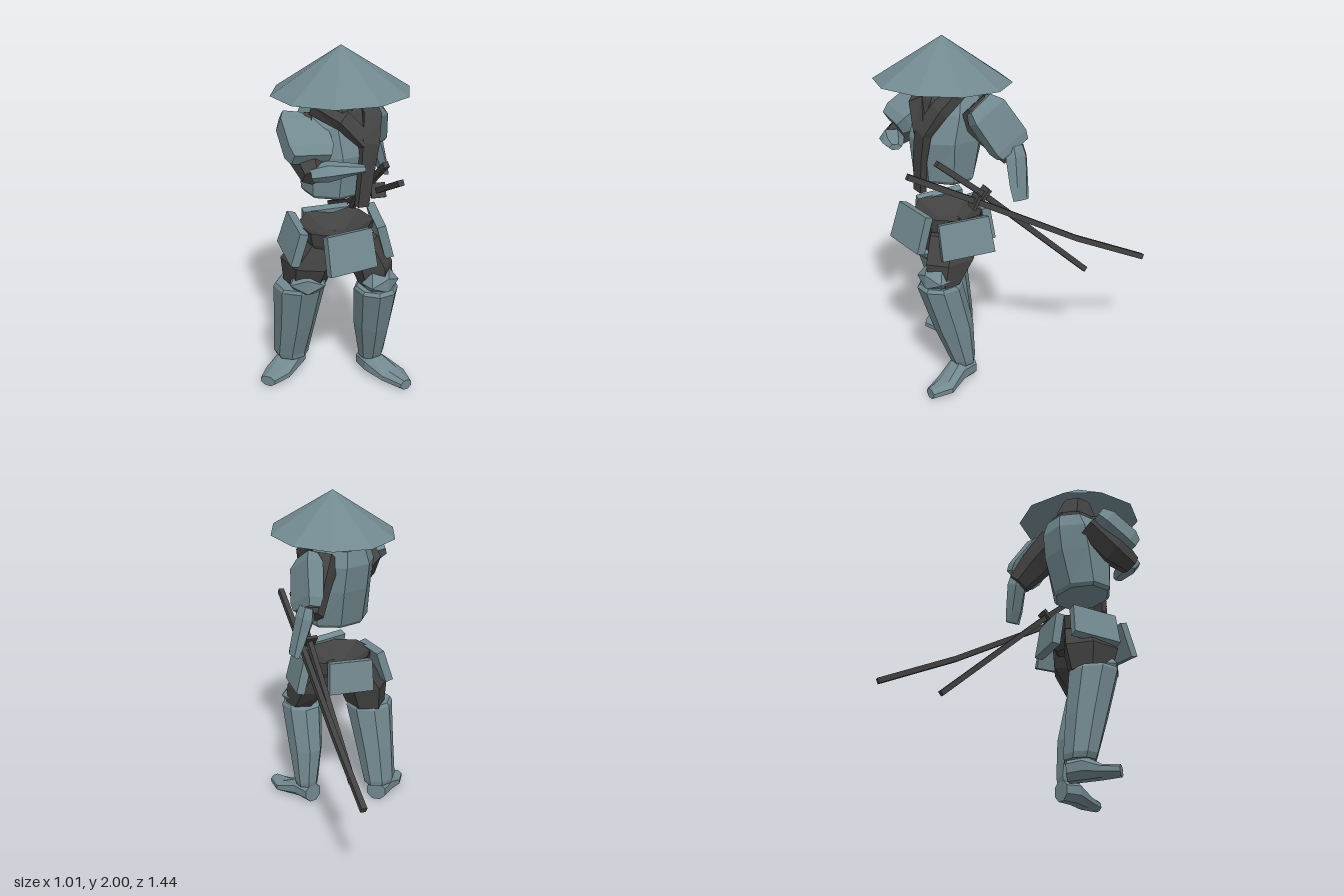
import * as THREE from 'three';

const V = (x, y, z) => new THREE.Vector3(x, y, z);
const X = V(1, 0, 0), Y = V(0, 1, 0), Z = V(0, 0, 1);

// Closed faceted loft. Each section is [x, y, z, halfAlongRef, halfAcross];
// sections face along the path, or along "axis" when it is given.
function loft(sections, sides, ref, axis) {
  const pts = sections.map(s => V(s[0], s[1], s[2]));
  const k = 1 / Math.cos(Math.PI / sides);
  const rings = sections.map((s, i) => {
    const dir = axis ? axis.clone()
      : pts[Math.min(i + 1, pts.length - 1)].clone().sub(pts[Math.max(i - 1, 0)]).normalize();
    const u = ref.clone().addScaledVector(dir, -ref.dot(dir)).normalize();
    const v = dir.clone().cross(u);
    return Array.from({ length: sides }, (_, j) => {
      const a = (j + 0.5) / sides * Math.PI * 2;
      return pts[i].clone().addScaledVector(u, Math.cos(a) * k * s[3]).addScaledVector(v, Math.sin(a) * k * s[4]);
    });
  });
  const out = [];
  const tri = (a, b, c) => out.push(...a.toArray(), ...b.toArray(), ...c.toArray());
  const last = rings.length - 1;
  for (let j = 0; j < sides; j++) {
    const n = (j + 1) % sides;
    for (let i = 0; i < last; i++) {
      const [a, b] = [rings[i], rings[i + 1]];
      tri(a[j], a[n], b[n]);
      tri(a[j], b[n], b[j]);
    }
    tri(pts[0], rings[0][n], rings[0][j]);
    tri(pts[last], rings[last][j], rings[last][n]);
  }
  const g = new THREE.BufferGeometry();
  g.setAttribute('position', new THREE.Float32BufferAttribute(out, 3));
  g.computeVertexNormals();
  return g;
}

export function createModel() {
  const model = new THREE.Group();
  model.name = 'strawHatSwordsman';
  const material = (name, color) => {
    const m = new THREE.MeshStandardMaterial({ color, flatShading: true, side: THREE.DoubleSide });
    m.name = name;
    return m;
  };
  const blue = material('slateBlue', 0x728990);
  const dark = material('charcoal', 0x434242);
  const add = (name, geometry, mat) => {
    const mesh = new THREE.Mesh(geometry, mat);
    mesh.name = name;
    model.add(mesh);
    return mesh;
  };

  // Ten-sided conical hat, its rim slightly raised at the front
  const hat = new THREE.ConeGeometry(1, 0.245, 10, 1, true);
  hat.scale(0.37, 1, 0.38);
  const p = hat.attributes.position;
  for (let i = 0; i < p.count; i++) p.setY(i, p.getY(i) + 0.05 * p.getZ(i));
  hat.translate(-0.07, 1.8775, 0.335);
  add('hat', hat, blue);

  // Head and collar
  add('head', loft([
    [-0.07, 1.66, 0.31, 0.10, 0.12], [-0.07, 1.76, 0.31, 0.10, 0.13], [-0.07, 1.88, 0.32, 0.07, 0.08],
  ], 6, X, Y), dark);
  add('collar', loft([
    [-0.06, 1.56, 0.34, 0.08, 0.155], [-0.07, 1.67, 0.30, 0.14, 0.155], [-0.07, 1.74, 0.29, 0.12, 0.13],
  ], 8, X, Y), dark);

  // Torso
  add('torso', loft([
    [-0.085, 1.21, 0.33, 0.17, 0.14], [-0.085, 1.23, 0.33, 0.185, 0.155], [-0.075, 1.45, 0.315, 0.195, 0.195],
    [-0.08, 1.60, 0.28, 0.19, 0.18], [-0.08, 1.69, 0.26, 0.15, 0.14],
  ], 8, X, Y), blue);

  // Scarf crossing the chest and hanging down the front
  add('scarfLong', loft([
    [0.06, 1.74, 0.31, 0.05, 0.03], [0.05, 1.63, 0.445, 0.05, 0.03], [-0.005, 1.51, 0.515, 0.05, 0.025],
    [-0.025, 1.36, 0.525, 0.04, 0.02], [-0.045, 1.17, 0.52, 0.033, 0.02],
  ], 4, X), dark);
  add('scarfShort', loft([
    [-0.22, 1.70, 0.33, 0.05, 0.03], [-0.13, 1.64, 0.455, 0.045, 0.03], [-0.02, 1.52, 0.515, 0.04, 0.02],
  ], 4, X), dark);

  // Left arm, hanging down
  add('leftSleeve', loft([
    [0.07, 1.63, 0.25, 0.09, 0.10], [0.17, 1.49, 0.17, 0.07, 0.09], [0.25, 1.37, 0.10, 0.06, 0.065],
  ], 6, X), dark);
  add('leftShoulderGuard', loft([
    [0.16, 1.665, 0.265, 0.03, 0.075], [0.185, 1.62, 0.235, 0.05, 0.105],
    [0.25, 1.45, 0.14, 0.045, 0.11], [0.265, 1.41, 0.12, 0.035, 0.095],
  ], 4, X), blue);
  add('leftForearm', loft([
    [0.27, 1.43, 0.11, 0.03, 0.05], [0.285, 1.37, 0.11, 0.04, 0.062],
    [0.33, 1.22, 0.125, 0.025, 0.055], [0.355, 1.145, 0.13, 0.014, 0.045],
  ], 6, X), blue);

  // Right arm, bent across the front, with the guard on its upper side
  add('rightSleeve', loft([
    [-0.24, 1.60, 0.26, 0.09, 0.08], [-0.31, 1.46, 0.40, 0.085, 0.085], [-0.33, 1.39, 0.52, 0.06, 0.05],
  ], 6, X), dark);
  add('rightShoulderGuard', loft([
    [-0.28, 1.635, 0.27, 0.10, 0.035], [-0.295, 1.605, 0.31, 0.12, 0.05],
    [-0.325, 1.51, 0.455, 0.12, 0.05], [-0.335, 1.48, 0.50, 0.10, 0.035],
  ], 4, X), blue);
  add('rightForearm', loft([
    [-0.34, 1.405, 0.51, 0.035, 0.05], [-0.27, 1.42, 0.55, 0.045, 0.06],
    [-0.17, 1.43, 0.60, 0.025, 0.05], [-0.10, 1.43, 0.63, 0.015, 0.03],
  ], 6, Y), blue);

  // Hollow-topped hips
  add('hips', loft([
    [-0.07, 0.84, 0.32, 0.14, 0.13], [-0.075, 0.93, 0.31, 0.19, 0.175],
    [-0.08, 1.005, 0.31, 0.20, 0.185], [-0.07, 0.90, 0.31, 0.04, 0.04],
  ], 8, X, Y), dark);

  // Hanging skirt plates: top centre, bottom centre, half width, width direction
  const plates = {
    frontPlate: [[-0.12, 1.025, 0.505], [-0.125, 0.82, 0.57], 0.145, X],
    backPlate: [[-0.04, 1.01, 0.13], [-0.025, 0.82, 0.105], 0.14, V(1, 0, 0.3)],
    leftPlate: [[0.145, 1.015, 0.37], [0.20, 0.82, 0.375], 0.15, V(-0.38, 0, 1)],
    rightPlate: [[-0.28, 1.01, 0.24], [-0.33, 0.82, 0.215], 0.145, V(-0.2, 0, 1)],
  };
  for (const [name, [top, bottom, w, ref]] of Object.entries(plates))
    add(name, loft([[...top, w * 0.95, 0.025], [...bottom, w, 0.025]], 4, ref), blue);

  // Trousers
  add('leftThigh', loft([
    [0.09, 0.65, 0.47, 0.085, 0.085], [0.08, 0.78, 0.41, 0.10, 0.145], [0.03, 0.92, 0.35, 0.09, 0.14],
  ], 6, X, Y), dark);
  add('rightThigh', loft([
    [-0.24, 0.64, 0.245, 0.10, 0.12], [-0.225, 0.79, 0.265, 0.13, 0.16], [-0.16, 0.92, 0.29, 0.10, 0.14],
  ], 6, X, Y), dark);

  // Knee guards
  const knee = (name, x, z, yaw) => {
    const g = new THREE.IcosahedronGeometry(1, 0);
    g.scale(0.115, 0.08, 0.085);
    g.rotateY(yaw);
    g.translate(x, 0.685, z);
    add(name, g, blue);
  };
  knee('leftKnee', 0.085, 0.525, 0.15);
  knee('rightKnee', -0.27, 0.335, -0.5);

  // Shin guards
  add('leftShin', loft([
    [0.13, 0.11, 0.375, 0.065, 0.06], [0.13, 0.14, 0.38, 0.07, 0.07], [0.105, 0.36, 0.42, 0.095, 0.11],
    [0.08, 0.63, 0.49, 0.115, 0.12], [0.08, 0.65, 0.495, 0.105, 0.10],
  ], 8, X, Y), blue);
  add('rightShin', loft([
    [-0.265, 0.11, 0.13, 0.09, 0.08], [-0.27, 0.14, 0.13, 0.10, 0.085], [-0.27, 0.36, 0.18, 0.115, 0.11],
    [-0.27, 0.63, 0.24, 0.14, 0.13], [-0.27, 0.65, 0.245, 0.13, 0.12],
  ], 8, X, Y), blue);

  // Feet: heel to toe
  add('leftFoot', loft([
    [0.125, 0.06, 0.315, 0.06, 0.055], [0.135, 0.065, 0.42, 0.065, 0.07],
    [0.185, 0.035, 0.54, 0.035, 0.075], [0.20, 0.03, 0.655, 0.03, 0.035],
  ], 8, Y, Z), blue);
  add('rightFoot', loft([
    [-0.215, 0.06, 0.09, 0.06, 0.06], [-0.295, 0.065, 0.135, 0.065, 0.07],
    [-0.39, 0.035, 0.18, 0.035, 0.075], [-0.48, 0.03, 0.225, 0.03, 0.045],
  ], 8, Y, V(-0.8, 0, 0.6)), blue);

  // Two sheathed swords with square hand guards
  const sword = (name, path, guard) => {
    add(name, loft(path.map(q => [...q, 0.016, 0.016]), 4, X), dark);
    const g = add(name + 'Guard', new THREE.BoxGeometry(0.085, 0.085, 0.02), dark);
    g.position.set(...guard);
    g.lookAt(V(...path[0]));
  };
  sword('longSword', [[0.09, 1.33, 0.68], [0.19, 1.135, 0.32], [0.36, 0.80, -0.28], [0.485, 0.60, -0.71]],
    [0.19, 1.135, 0.32]);
  sword('shortSword', [[0.11, 1.37, 0.51], [0.17, 1.15, 0.25], [0.325, 0.55, -0.39]],
    [0.17, 1.15, 0.25]);

  return model;
}
